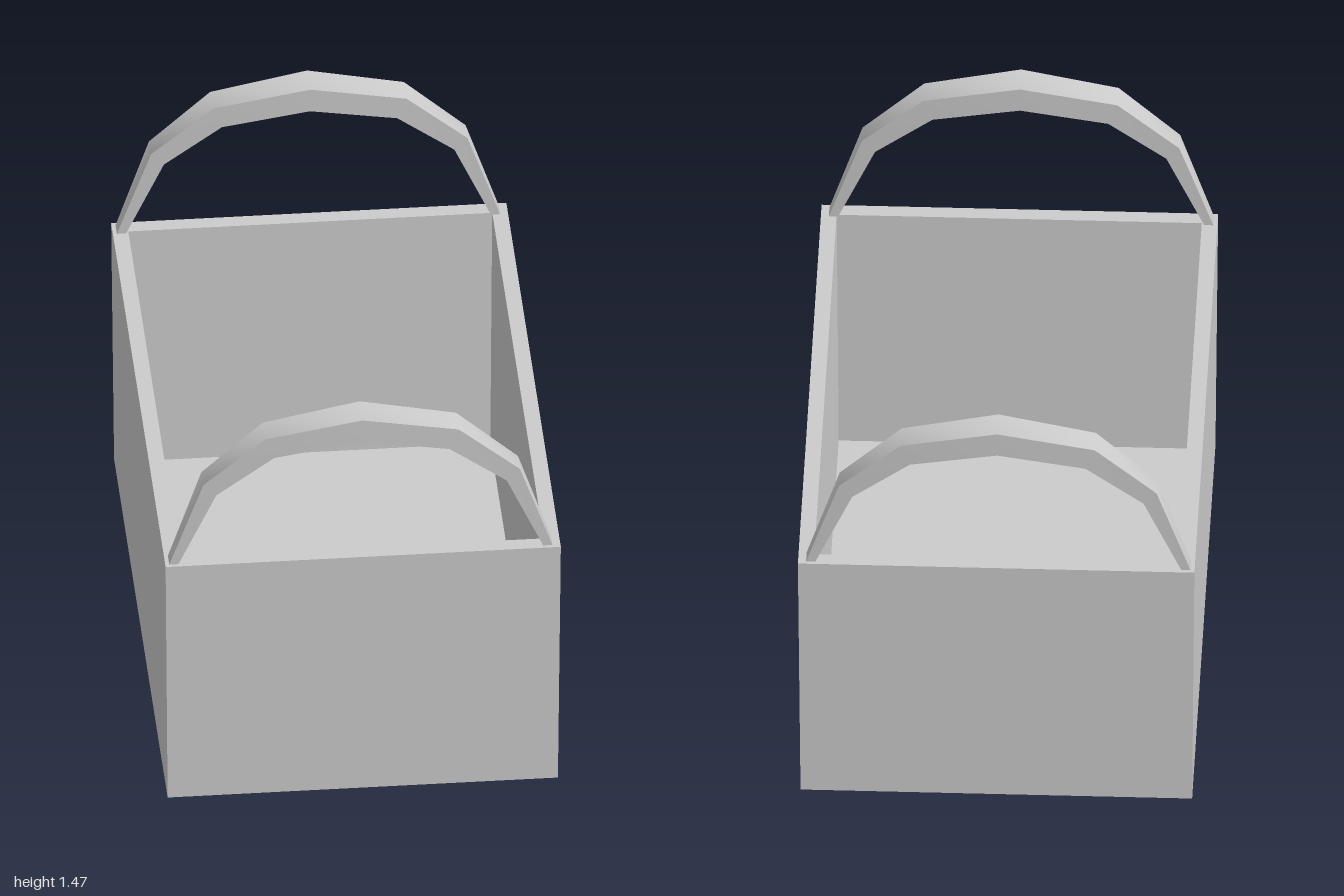
import * as THREE from 'three';
import { toCreasedNormals } from 'three/addons/utils/BufferGeometryUtils.js';

// Closed skin through a list of four-cornered sections, capped at both ends
function loft(sections, crease) {
  const positions = sections.flat(2);
  const index = [];
  const last = (sections.length - 1) * 4;
  for (let i = 0; i < last; i += 4) {
    for (let j = 0; j < 4; j++) {
      const k = (j + 1) % 4;
      index.push(i + j, i + k, i + 4 + k, i + j, i + 4 + k, i + 4 + j);
    }
  }
  index.push(0, 2, 1, 0, 3, 2);
  index.push(last, last + 1, last + 2, last, last + 2, last + 3);
  const geometry = new THREE.BufferGeometry();
  geometry.setAttribute('position', new THREE.Float32BufferAttribute(positions, 3));
  geometry.setIndex(index);
  return toCreasedNormals(geometry, crease);
}

// Horizontal rectangle given by half width, height and half depth
const rectangle = (x, y, z) => [[x, y, z], [x, y, -z], [-x, y, -z], [-x, y, z]];

export function createModel() {
  const group = new THREE.Group();
  const material = new THREE.MeshStandardMaterial({ color: 0xcccccc });

  // Open box: outside wall, rim, inside wall and floor
  const box = new THREE.Mesh(loft([
    rectangle(0.635, 0, 0.967),
    rectangle(0.643, 0.92, 0.983),
    rectangle(0.592, 0.92, 0.93),
    rectangle(0.585, 0.02, 0.92),
  ], 0.5), material);
  box.name = 'basketBox';
  group.add(box);

  // Handle sections: outer x, outer y, inner x, inner y, half width
  const arch = [
    [0.617, 0.92, 0.587, 0.92, 0.025],
    [0.51, 1.235, 0.467, 1.192, 0.037],
    [0.31, 1.41, 0.28, 1.335, 0.048],
    [-0.004, 1.47, -0.004, 1.385, 0.055],
    [-0.32, 1.41, -0.29, 1.335, 0.048],
    [-0.52, 1.235, -0.478, 1.192, 0.037],
    [-0.63, 0.92, -0.6, 0.92, 0.025],
  ];
  const handleGeometry = loft(arch.map(([ox, oy, ix, iy, w]) => [
    [ox, oy, w], [ox, oy, -w], [ix, iy, -w], [ix, iy, w],
  ]), 1);

  // One arched handle at each end
  for (const [name, z] of [['frontHandle', 0.945], ['backHandle', -0.945]]) {
    const handle = new THREE.Mesh(handleGeometry, material);
    handle.name = name;
    handle.position.z = z;
    group.add(handle);
  }
  return group;
}
